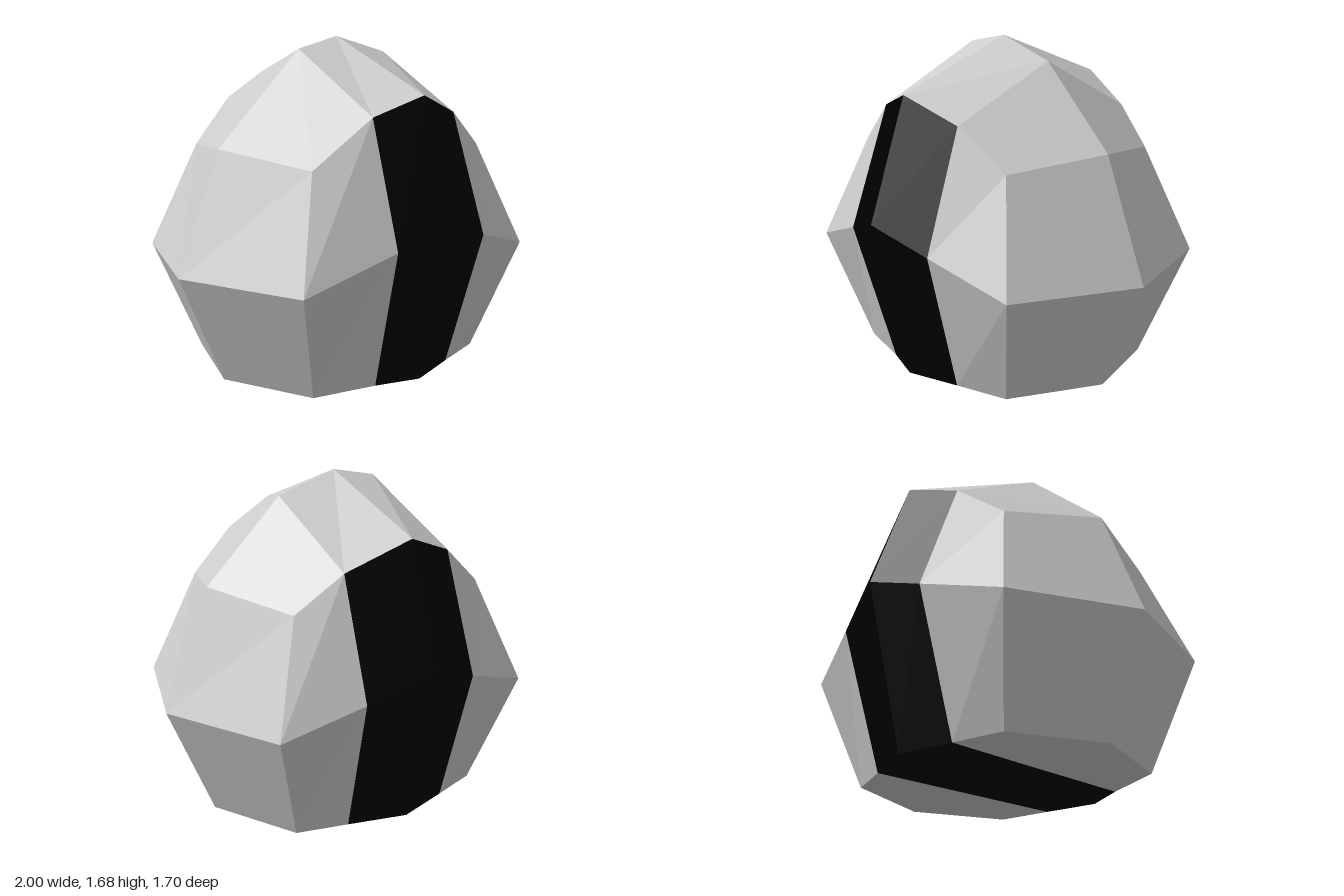
import * as THREE from 'three';

// Each section is a loop of 8 points: under, front low, front mid, front high,
// top, back high, back mid, back low.
const mirrorZ = (half) => [...half, ...half.slice(1, 4).reverse().map(([x, y, z]) => [x, y, -z])];

const endSection = (s) => mirrorZ([
  [s * 0.75, 0, 0], [s * 0.56, 0, 0.475], [s * 0.75, 0.58, 0.64], [s * 0.56, 1.12, 0.475], [s * 0.75, 1.18, 0],
]);
const midSection = mirrorZ([[0, 0, 0], [0, 0, 0.64], [0, 0.83, 0.85], [0, 1.44, 0.64], [0, 1.68, 0]]);

// The two stripe borders are slightly uneven, as if cut by hand
const cutA = [
  [-0.26, 0, 0], [-0.23, 0, 0.56], [-0.285, 0.74, 0.767], [-0.26, 1.35, 0.56],
  [-0.25, 1.63, 0], [-0.295, 1.33, -0.555], [-0.3, 0.73, -0.77], [-0.295, 0, -0.555],
];
const cutB = [
  [0.29, 0, 0], [0.28, 0, 0.555], [0.32, 0.72, 0.757], [0.3, 1.32, 0.55],
  [0.33, 1.58, 0], [0.325, 1.3, -0.545], [0.345, 0.715, -0.757], [0.3, 0, -0.55],
];

// Flat-shaded mesh from a list of four-cornered faces
function quadMesh(name, quads, color) {
  const pos = quads.flatMap(([a, b, c, d]) => [a, b, c, a, c, d]).flat();
  const geo = new THREE.BufferGeometry();
  geo.setAttribute('position', new THREE.Float32BufferAttribute(pos, 3));
  geo.computeVertexNormals();
  const mesh = new THREE.Mesh(geo, new THREE.MeshStandardMaterial({ color, flatShading: true }));
  mesh.name = name;
  return mesh;
}

export function createModel() {
  const sections = [endSection(-1), cutA, midSection, cutB, endSection(1)];
  const shell = [], stripe = [];

  // Skin between neighbouring sections; the middle is striped except on top
  for (let i = 0; i < 4; i++) {
    for (let j = 0; j < 8; j++) {
      const k = (j + 1) % 8;
      const [p, q] = [sections[i], sections[i + 1]];
      const striped = (i === 1 || i === 2) && j !== 3 && j !== 4;
      (striped ? stripe : shell).push([p[j], q[j], q[k], p[k]]);
    }
  }

  // Pointed side caps, four faces around each tip
  for (const s of [-1, 1]) {
    const ring = endSection(s);
    const tip = [s, 0.58, 0];
    for (let j = 0; j < 8; j += 2) {
      const [a, b, c] = [ring[j], ring[j + 1], ring[(j + 2) % 8]];
      shell.push(s > 0 ? [tip, c, b, a] : [tip, a, b, c]);
    }
  }

  const group = new THREE.Group();
  group.name = 'stripedRock';
  group.add(quadMesh('body', shell, 0xcccccc), quadMesh('stripe', stripe, 0x000000));
  return group;
}
